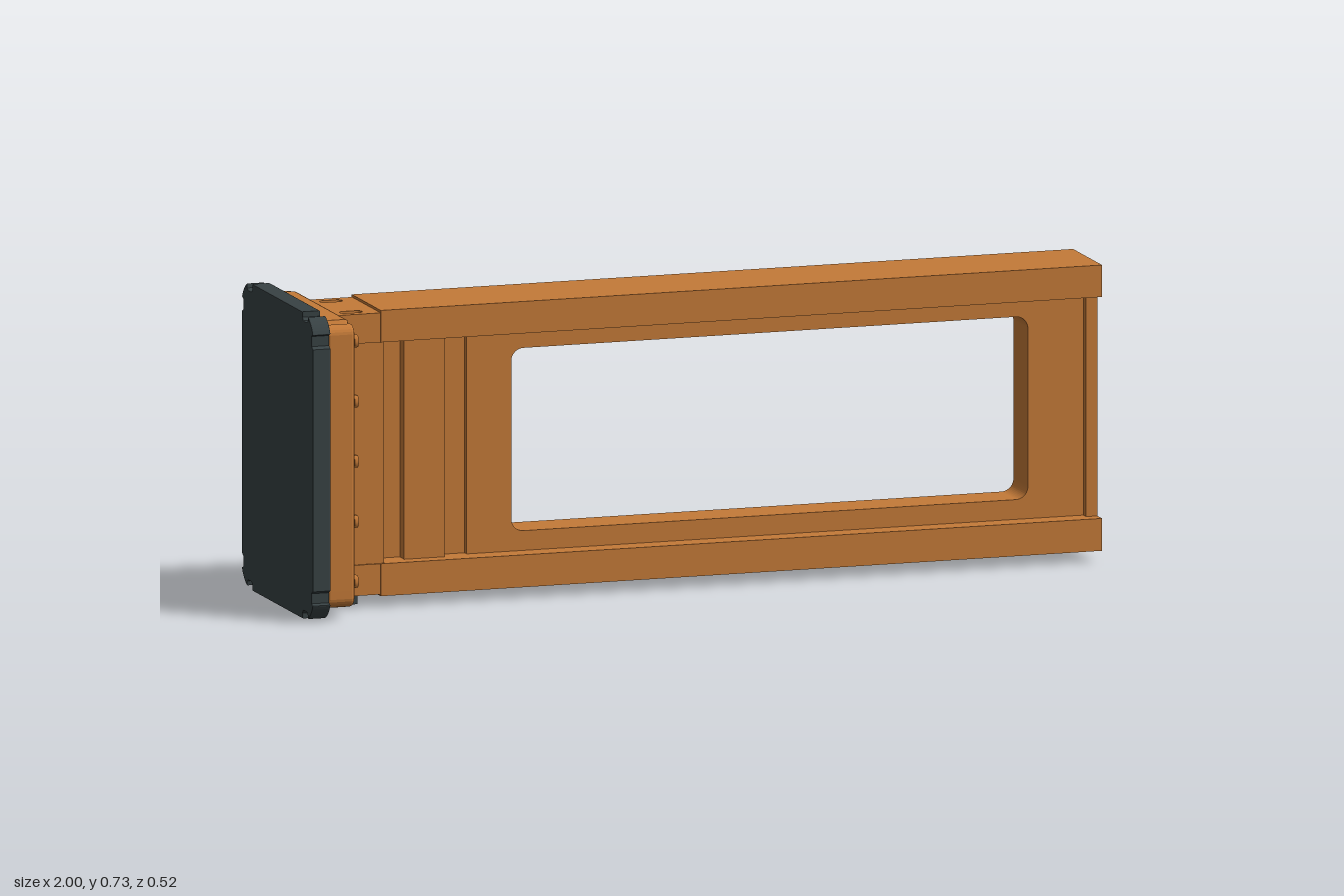
import * as THREE from 'three';

const orange = new THREE.MeshStandardMaterial({ color: 0xc47a38 });
const rubber = new THREE.MeshStandardMaterial({ color: 0x384244 });
const MID = 0.365; // height of the end plate centre

export function createModel() {
  const model = new THREE.Group();

  function add(name, geometry, material = orange) {
    const mesh = new THREE.Mesh(geometry, material);
    mesh.name = name;
    model.add(mesh);
    return mesh;
  }

  // box given by its limits
  function box(name, x0, x1, y0, y1, z0, z1, material) {
    const m = add(name, new THREE.BoxGeometry(x1 - x0, y1 - y0, z1 - z0), material);
    m.position.set((x0 + x1) / 2, (y0 + y1) / 2, (z0 + z1) / 2);
    return m;
  }

  // rounded rectangle traced onto a shape or a hole path
  function roundRect(p, x0, x1, y0, y1, r) {
    p.moveTo(x0 + r, y0);
    p.lineTo(x1 - r, y0);
    p.absarc(x1 - r, y0 + r, r, -Math.PI / 2, 0);
    p.absarc(x1 - r, y1 - r, r, 0, Math.PI / 2);
    p.absarc(x0 + r, y1 - r, r, Math.PI / 2, Math.PI);
    p.absarc(x0 + r, y0 + r, r, Math.PI, Math.PI * 1.5);
    return p;
  }

  function rectShape(x0, x1, y0, y1) {
    return new THREE.Shape([[x0, y0], [x1, y0], [x1, y1], [x0, y1]].map(p => new THREE.Vector2(...p)));
  }

  // slab across x, its outline mirrored from one corner running side to top
  function mirroredSlab(name, corner, x0, x1, bevel, material) {
    const back = [...corner].reverse();
    const outline = [
      ...corner,
      ...back.map(([z, y]) => [-z, y]),
      ...corner.map(([z, y]) => [-z, -y]),
      ...back.map(([z, y]) => [z, -y]),
    ].map(([z, y]) => new THREE.Vector2(z, y));
    const geo = new THREE.ExtrudeGeometry(new THREE.Shape(outline), {
      depth: x1 - x0 - 2 * bevel, bevelSize: bevel, bevelThickness: bevel,
      bevelOffset: -bevel, bevelSegments: 2,
    });
    geo.translate(0, 0, bevel).rotateY(Math.PI / 2).translate(x0, MID, 0);
    return add(name, geo, material);
  }

  // points on a quarter arc
  function arc(cz, cy, r, a0, a1, n = 6) {
    return Array.from({ length: n + 1 }, (_, i) => {
      const a = a0 + (a1 - a0) * i / n;
      return [cz + r * Math.cos(a), cy + r * Math.sin(a)];
    });
  }

  // rubber pad with notched corners, and its tongue underneath
  mirroredSlab('rubberPad', [
    [0.26, 0.288], [0.25, 0.294], [0.25, 0.318], [0.259, 0.322],
    ...arc(0.195, 0.295, 0.07, 0.43, 1.16),
    [0.221, 0.349], [0.213, 0.345], [0.19, 0.345], [0.183, 0.352], [0.183, 0.365],
  ], -1, -0.955, 0.003, rubber);
  box('rubberTongue', -0.97, -0.82, 0, 0.027, -0.053, 0.053, rubber);

  // bolted end plate, notched near its corners
  mirroredSlab('endPlate', [
    [0.238, 0.295], ...arc(0.213, 0.312, 0.025, 0.1, 1.4, 5),
    [0.212, 0.33], [0.193, 0.33], [0.186, 0.341],
  ], -0.957, -0.887, 0.008);

  // bolts: washer head with a raised hexagon
  for (const side of [-1, 1]) {
    for (let i = 0; i < 5; i++) {
      const bolt = new THREE.Group();
      bolt.name = 'bolt';
      const head = new THREE.Mesh(new THREE.LatheGeometry([
        [0.025, -0.01], [0.025, 0.008], [0.021, 0.013], [0, 0.013],
      ].map(p => new THREE.Vector2(...p)), 24), orange);
      head.name = 'boltHead';
      const hex = new THREE.Mesh(new THREE.CylinderGeometry(0.016, 0.017, 0.014, 6), orange);
      hex.material = orange;
      hex.name = 'boltHexagon';
      hex.position.y = 0.018;
      bolt.add(head, hex);
      bolt.rotation.z = -Math.PI / 2;
      bolt.position.set(-0.888, 0.08 + i * 0.143, side * 0.178);
      model.add(bolt);
    }
  }

  // top and bottom beam flanges, with a slightly thinner slotted root
  function slottedRoot(name, y0, y1) {
    const shape = rectShape(-0.895, -0.78, -0.105, 0.105);
    for (const s of [-1, 1]) {
      shape.holes.push(roundRect(new THREE.Path(), -0.87, -0.815, s * 0.072 - 0.012, s * 0.072 + 0.012, 0.011));
    }
    const geo = new THREE.ExtrudeGeometry(shape, { depth: y1 - y0, bevelEnabled: false, curveSegments: 5 });
    add(name, geo.rotateX(-Math.PI / 2).translate(0, y0, 0));
  }
  slottedRoot('topFlangeRoot', 0.63, 0.7);
  slottedRoot('bottomFlangeRoot', 0.03, 0.103);
  box('topFlange', -0.78, 1, 0.63, 0.706, -0.106, 0.106);
  box('bottomFlange', -0.78, 1, 0.026, 0.103, -0.106, 0.106);

  // web: thin root, windowed frame and end lip
  box('webRoot', -0.895, -0.55, 0.1, 0.635, -0.038, 0.038);
  const frame = rectShape(-0.55, 0.972, 0.1, 0.635);
  frame.holes.push(roundRect(new THREE.Path(), -0.44, 0.835, 0.15, 0.585, 0.03));
  add('windowFrame', new THREE.ExtrudeGeometry(frame, {
    depth: 0.106, bevelEnabled: false, curveSegments: 6,
  }).translate(0, 0, -0.053));
  box('endLip', 0.972, 1, 0.1, 0.635, -0.073, 0.073);

  // upright rib on each face, and a hollow side cover beside the slots
  box('uprightRib', -0.71, -0.61, 0.1, 0.635, -0.07, 0.07);
  for (const s of [-1, 1]) {
    const outer = s * 0.094, wall = s * 0.066;
    box('sideCover', -0.895, -0.77, 0.1, 0.632, outer - 0.006, outer + 0.006);
    box('sideCoverWall', -0.79, -0.77, 0.1, 0.632, wall - 0.03, wall + 0.03);
  }

  return model;
}
